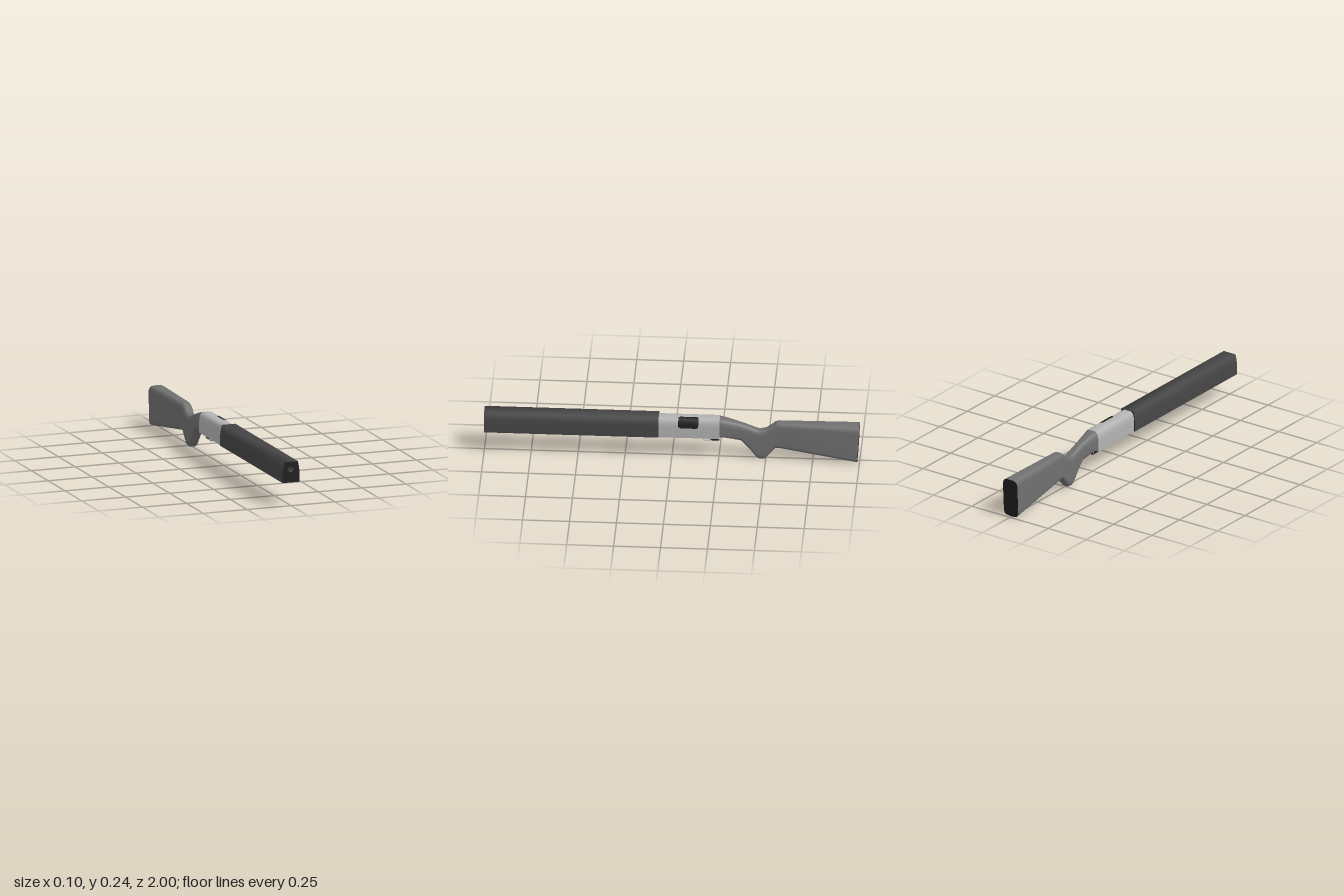
import * as THREE from 'three';
import { toCreasedNormals } from 'three/addons/utils/BufferGeometryUtils.js';

const mat = (name, color, side = THREE.FrontSide) =>
  Object.assign(new THREE.MeshStandardMaterial({ color, side }), { name });

const makeShape = (pts) => new THREE.Shape(pts.map(([x, y]) => new THREE.Vector2(x, y)));

// Extrude a cross-section in x/y from z0 to z1, keeping right angles sharp
function prism(shape, z0, z1) {
  const g = new THREE.ExtrudeGeometry(shape, { depth: z1 - z0, bevelEnabled: false, curveSegments: 20 });
  g.translate(0, 0, z0);
  return toCreasedNormals(g, 1.45);
}

// Mirror a right-hand outline (bottom to top) into a closed outline
const mirrored = (half) => [...half, ...half.slice().reverse().map(([x, y]) => [-x, y])];

// Rounded cross-section of the stock, counterclockwise seen from the front
function section({ z, zb = z, top, bot, w, rx, rt, rb }) {
  const pts = [];
  const corners = [[1, -1], [1, 1], [-1, 1], [-1, -1]];
  corners.forEach(([sx, sy], q) => {
    const ry = sy > 0 ? rt : rb;
    const cy = sy > 0 ? top - ry : bot + ry;
    for (let i = 0; i < 4; i++) {
      const a = (q - 1 + i / 3) * Math.PI / 2;
      const y = cy + ry * Math.sin(a);
      const t = (y - bot) / (top - bot);
      pts.push([sx * (w - rx) + rx * Math.cos(a), y, zb + (z - zb) * t]);
    }
  });
  return pts;
}

function loft(rings) {
  const n = rings[0].length, index = [];
  for (let r = 0; r < rings.length - 1; r++) {
    for (let k = 0; k < n; k++) {
      const a = r * n + k, b = r * n + (k + 1) % n;
      index.push(a, a + n, b, b, a + n, b + n);
    }
  }
  const g = new THREE.BufferGeometry();
  g.setAttribute('position', new THREE.Float32BufferAttribute(rings.flat(2), 3));
  g.setIndex(index);
  g.computeVertexNormals();
  return g;
}

// Flat end cap facing backwards
function backCap(ring) {
  const n = ring.length, index = [];
  for (let k = 1; k < n - 1; k++) index.push(0, k + 1, k);
  const g = new THREE.BufferGeometry();
  g.setAttribute('position', new THREE.Float32BufferAttribute(ring.flat(), 3));
  g.setIndex(index);
  g.computeVertexNormals();
  return g;
}

export function createModel() {
  const group = new THREE.Group();
  const charcoal = mat('charcoal', 0x464646);
  const black = mat('black', 0x202020);
  const lightMetal = mat('lightMetal', 0xb2b2b2);
  const stockGrey = mat('stockGrey', 0x707070, THREE.DoubleSide);
  const add = (name, geometry, material) => {
    const m = new THREE.Mesh(geometry, material);
    m.name = name;
    group.add(m);
    return m;
  };

  // Long front housing with an open bore
  const housing = makeShape(mirrored([[0.048, 0.13], [0.048, 0.187], [0.0455, 0.21], [0.039, 0.243]]));
  housing.holes.push(new THREE.Path().absarc(0, 0.203, 0.016, 0, Math.PI * 2, true));
  add('frontHousing', prism(housing, 0.07, 1), [black, charcoal]);

  // Receiver with rounded shoulders
  const shoulder = [[0.043, 0.195], [0.0415, 0.212], [0.037, 0.227], [0.029, 0.237], [0.018, 0.241]];
  add('receiver', prism(makeShape(mirrored([[0.043, 0.13], ...shoulder])), -0.255, 0.07), lightMetal);

  // Ejection port: thin plate following the left shoulder
  const rows = [[0.043, 0.188, 0.01], ...shoulder.map(([x, y]) => [x, y, 0]), [0.01, 0.241, 0.008]];
  const pos = [], index = [];
  rows.forEach(([x, y, inset], i) => {
    pos.push(x + 0.0015, y + 0.0012, -0.035 - inset, x + 0.0015, y + 0.0012, -0.142 + inset);
    if (i) {
      const a = 2 * i - 2;
      index.push(a, a + 1, a + 2, a + 1, a + 3, a + 2);
    }
  });
  const port = new THREE.BufferGeometry();
  port.setAttribute('position', new THREE.Float32BufferAttribute(pos, 3));
  port.setIndex(index);
  port.computeVertexNormals();
  add('ejectionPort', port, black);

  // Trigger guard loop, drawn in z/y and turned into place
  const guard = makeShape([[-0.152, 0.132], [-0.168, 0.098], [-0.25, 0.098], [-0.255, 0.132]]);
  guard.holes.push(new THREE.Path([[-0.157, 0.13], [-0.25, 0.13], [-0.247, 0.101], [-0.17, 0.101]]
    .map(([z, y]) => new THREE.Vector2(z, y))));
  const guardGeo = prism(guard, -0.008, 0.008);
  guardGeo.rotateY(-Math.PI / 2);
  add('triggerGuard', guardGeo, lightMetal);

  // Trigger block inside the guard
  const trigger = add('trigger', new THREE.BoxGeometry(0.014, 0.031, 0.047), black);
  trigger.position.set(0, 0.1155, -0.229);

  // Stock: neck, grip and butt in one smooth loft
  const rings = [
    { z: -0.25, top: 0.239, bot: 0.131, w: 0.042, rx: 0.024, rt: 0.042, rb: 0.012 },
    { z: -0.28, top: 0.235, bot: 0.129, w: 0.039, rx: 0.024, rt: 0.042, rb: 0.015 },
    { z: -0.32, top: 0.224, bot: 0.121, w: 0.034, rx: 0.022, rt: 0.038, rb: 0.02 },
    { z: -0.37, top: 0.209, bot: 0.109, w: 0.029, rx: 0.02, rt: 0.034, rb: 0.025 },
    { z: -0.41, top: 0.194, bot: 0.064, w: 0.028, rx: 0.018, rt: 0.032, rb: 0.028 },
    { z: -0.45, top: 0.178, bot: 0.012, w: 0.028, rx: 0.016, rt: 0.03, rb: 0.03 },
    { z: -0.465, top: 0.173, bot: 0.003, w: 0.028, rx: 0.016, rt: 0.03, rb: 0.03 },
    { z: -0.495, top: 0.178, bot: 0.004, w: 0.028, rx: 0.016, rt: 0.03, rb: 0.03 },
    { z: -0.515, top: 0.189, bot: 0.026, w: 0.028, rx: 0.016, rt: 0.03, rb: 0.028 },
    { z: -0.55, top: 0.218, bot: 0.071, w: 0.029, rx: 0.016, rt: 0.03, rb: 0.022 },
    { z: -0.57, top: 0.224, bot: 0.072, w: 0.03, rx: 0.017, rt: 0.03, rb: 0.022 },
    { z: -1, zb: -0.988, top: 0.221, bot: 0.006, w: 0.047, rx: 0.026, rt: 0.03, rb: 0.024 },
  ].map(section);
  add('stock', loft(rings), stockGrey);
  add('buttPlate', backCap(rings[rings.length - 1]), black);

  // Rest the grip on the ground plane
  group.children.forEach((m) => { m.position.y -= 0.003; });
  return group;
}
